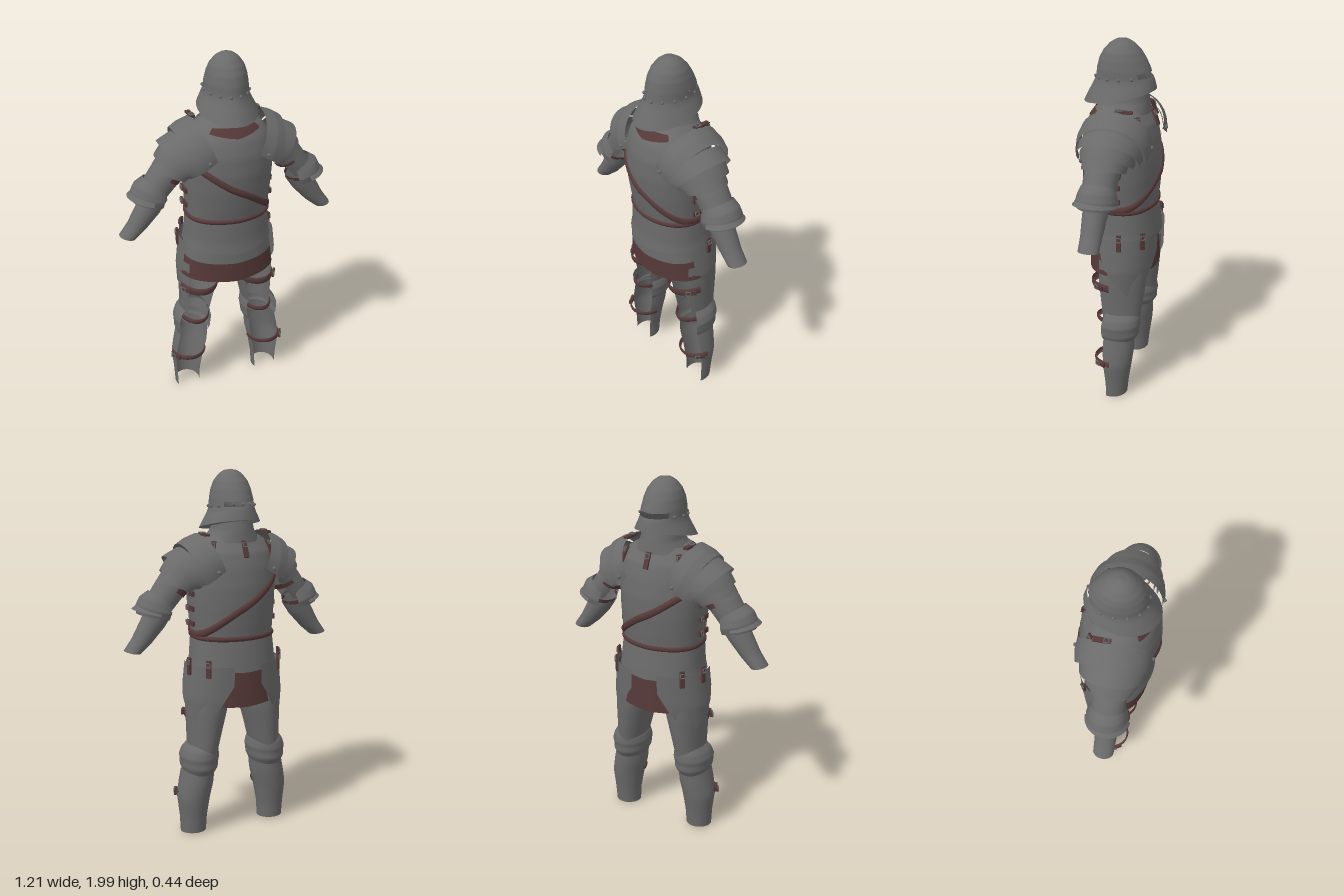
import * as THREE from 'three';

const steel = new THREE.MeshStandardMaterial({ color: 0x6a6a6a, side: THREE.DoubleSide });
steel.name = 'steel';
const leather = new THREE.MeshStandardMaterial({ color: 0x563939, side: THREE.DoubleSide });
leather.name = 'leather';
const RAD = Math.PI / 180, { sin, cos, abs, sign, pow } = Math;
const lerp = (a, b, t) => a + (b - a) * t;

// Sheet of quads through fn(u, v) -> [x, y, z]; closed joins the two u ends.
function sheet(parent, name, mat, fn, nu = 32, nv = 8, closed = false) {
  const pos = [], idx = [], cols = closed ? nu : nu + 1;
  for (let j = 0; j <= nv; j++)
    for (let i = 0; i < cols; i++) pos.push(...fn(i / nu, j / nv));
  for (let j = 0; j < nv; j++)
    for (let i = 0; i < nu; i++) {
      const k = (i + 1) % cols, a = j * cols + i, b = j * cols + k;
      idx.push(a, a + cols, b, b, a + cols, b + cols);
    }
  const g = new THREE.BufferGeometry();
  g.setAttribute('position', new THREE.Float32BufferAttribute(pos, 3));
  g.setIndex(idx);
  g.computeVertexNormals();
  const m = new THREE.Mesh(g, mat);
  m.name = name;
  parent.add(m);
  return m;
}

// Point on a body whose rows are [y, centreX, radiusX, zBack, zFront], falling in y. Angle 0 is +z.
function onBody(rows, deg, y, off = 0, p = 1, ridge = 0, rowY = y) {
  let k = 0;
  while (k < rows.length - 2 && rowY < rows[k + 1][0]) k++;
  const A = rows[k], B = rows[k + 1];
  const t = Math.min(1, Math.max(0, (rowY - A[0]) / (B[0] - A[0])));
  const [, cx, rx, zb, zf] = A.map((a, i) => lerp(a, B[i], t));
  const s = sin(deg * RAD), c = cos(deg * RAD);
  const rz = ((zb - zf) / 2 + off) * (1 - ridge * abs(s) * abs(c) * 2);
  return [cx + (rx + off) * sign(s) * pow(abs(s), p), y, (zb + zf) / 2 + rz * sign(c) * pow(abs(c), p)];
}

// Band following a body from y0 to y1 (numbers or functions of angle).
function band(parent, name, mat, rows, y0, y1, o = {}) {
  const { from = 0, to = 360, off = 0, bulge = 0, p = 1, ridge = 0, side = 1, nv = 10 } = o;
  const val = (y, d) => (typeof y === 'function' ? y(d) : y);
  return sheet(parent, name, mat, (u, v) => {
    const d = lerp(from, to, u), y = lerp(val(y0, d), val(y1, d), v);
    const q = onBody(rows, d, y, off + bulge * pow(sin(Math.PI * v), 0.5), p, ridge);
    return [q[0] * side, q[1], q[2]];
  }, 48, nv, to - from === 360);
}

// Short strap with a buckle, facing outward at the given angle.
function strap(parent, pos, deg, len = 0.09, tilt = 0) {
  const g = new THREE.Group();
  g.name = 'buckledStrap';
  const a = new THREE.Mesh(new THREE.BoxGeometry(0.026, len, 0.012), leather);
  a.name = 'strapLeather';
  const b = new THREE.Mesh(new THREE.TorusGeometry(0.017, 0.004, 6, 4), steel);
  b.name = 'buckle';
  b.rotation.z = Math.PI / 4;
  b.position.set(0, len * 0.25, 0.008);
  g.add(a, b);
  g.position.set(...pos);
  g.rotation.order = 'YXZ';
  g.rotation.set(tilt, deg * RAD, 0);
  parent.add(g);
  return g;
}

function rivet(parent, pos, r = 0.009) {
  const m = new THREE.Mesh(new THREE.SphereGeometry(r, 8, 6), steel);
  m.name = 'rivet';
  m.position.set(...pos);
  parent.add(m);
}

const torsoRows = [[1.67, 0, 0.12, 0.12, -0.11], [1.63, 0, 0.18, 0.15, -0.13], [1.58, 0, 0.22, 0.185, -0.165],
  [1.5, 0, 0.24, 0.212, -0.19], [1.4, 0, 0.24, 0.22, -0.205], [1.3, 0, 0.236, 0.212, -0.205],
  [1.2, 0, 0.228, 0.196, -0.197], [1.12, 0, 0.223, 0.18, -0.187]];
const T = { p: 0.88, ridge: 0.04 };
const front = d => (1 - cos(d * RAD)) / 2;

function buildTorso(root) {
  const g = new THREE.Group();
  g.name = 'torso';
  root.add(g);
  band(g, 'cuirass', steel, torsoRows, 1.67, 1.12, { ...T, nv: 28 });
  band(g, 'waistBelt', leather, torsoRows, 1.142, 1.114, { ...T, bulge: 0.011 });
  // baldric runs from the +x hip to the -x shoulder
  const slope = d => 1.306 - 0.71 * 0.235 * sin(d * RAD);
  band(g, 'baldric', leather, torsoRows, d => slope(d) + 0.022, d => slope(d) - 0.022, { ...T, bulge: 0.011 });
  // neck
  band(g, 'backCollar', leather, torsoRows, 1.645, d => 1.595 + abs(d) * 0.0006, { ...T, from: -42, to: 42, off: 0.006 });
  const neck = [[1.76, 0, 0.095, 0.09, -0.125], [1.69, 0, 0.11, 0.115, -0.14], [1.63, 0, 0.15, 0.14, -0.148]];
  band(g, 'gorget', steel, neck, d => 1.69 + 0.05 * front(d), 1.63, T);
  band(g, 'gorgetPlate', steel, torsoRows, 1.66, d => 1.53 + abs(d - 180) * 0.0013, { ...T, from: 110, to: 250, off: 0.01 });
  for (const d of [135, 180, 225]) {
    const q = onBody(torsoRows, d, 1.6, 0.02, 0.88);
    strap(g, q, d, 0.09, -0.4);
  }
  // hip plates and leather skirt
  const fauld = [[1.125, 0, 0.226, 0.183, -0.188], [1.0, 0, 0.236, 0.188, -0.206], [0.93, 0, 0.25, 0.198, -0.214]];
  const lower = [[0.97, 0, 0.236, 0.182, -0.195], [0.86, 0, 0.253, 0.187, -0.2]];
  const skirt = [[0.99, 0, 0.232, 0.175, -0.185], [0.75, 0, 0.27, 0.175, -0.2]];
  band(g, 'fauld', steel, fauld, 1.125, d => 0.955 + 0.015 * front(d) - 0.022 * pow(abs(cos(d * RAD)), 6), T);
  band(g, 'rearFauldLame', steel, lower, 0.965, d => 0.872 + abs(d) * 0.0002, { ...T, from: -100, to: 100 });
  band(g, 'leatherSkirt', leather, skirt, 0.98, d => 0.752 + 0.018 * abs(sin(d * RAD)), T);
  for (const s of [1, -1]) {
    for (const y of [1.2, 1.28, 1.36]) {
      const st = strap(g, [s * 0.24, y, 0], s * 90, 0.09);
      st.rotation.z = Math.PI / 2;
    }
    // tapered thigh plates hanging from the hip
    const tas = [[0.99, 0, 0.262, 0.2, -0.219], [0.8, 0, 0.284, 0.2, -0.214], [0.62, 0, 0.276, 0.185, -0.195]];
    sheet(g, 'tasset', steel, (u, v) => {
      const k = u * 2 - 1, w = v < 0.5 ? 1 : lerp(1, 0.7, (v - 0.5) * 2);
      const y = 0.985 - v * (0.345 - 0.13 * pow(abs(k), 1.4));
      const q = onBody(tas, 120 + 45 * k * w, y, 0, 0.9);
      return [q[0] * s, q[1], q[2]];
    }, 20, 16);
    for (const d of [98, 132]) {
      const q = onBody(tas, d, 0.975, 0.008, 0.9);
      strap(g, [q[0] * s, q[1], q[2]], d * s, 0.095);
    }
  }
}

function buildHelmet(root) {
  const g = new THREE.Group();
  g.name = 'helmet';
  root.add(g);
  const rows = [[2, 0, 0.001, 0.008, 0.006], [1.994, 0, 0.035, 0.042, -0.028], [1.975, 0, 0.062, 0.072, -0.06],
    [1.94, 0, 0.088, 0.104, -0.094], [1.9, 0, 0.102, 0.126, -0.12], [1.85, 0, 0.111, 0.139, -0.143],
    [1.8, 0, 0.114, 0.145, -0.158], [1.77, 0, 0.121, 0.158, -0.163], [1.72, 0, 0.139, 0.185, -0.169],
    [1.67, 0, 0.156, 0.21, -0.174]];
  // the lower rim climbs towards the face
  const shell = (name, a, b, from, to, nv) => sheet(g, name, steel, (u, v) => {
    const d = lerp(from, to, u), y = lerp(a, b, v);
    const rise = y < 1.815 ? 0.08 * front(d) * (1.815 - y) / 0.145 : 0;
    return onBody(rows, d, y + rise, 0, 1, 0.02, y);
  }, 48, nv, to - from === 360);
  shell('helmetCrown', 2, 1.84, 0, 360, 24);
  shell('sightBand', 1.84, 1.815, -130, 130, 3);
  shell('helmetSkirt', 1.815, 1.67, 0, 360, 14);
  for (let i = 0; i < 14; i++) {
    const d = (i + 0.5) * 360 / 14, y = 1.803 + 0.02 * front(d);
    if (abs(d - 180) > 40) rivet(g, onBody(rows, d, y, 0.002, 1, 0.02));
  }
}

// Arc round the arm: [x, y, angle of outward normal, outward radius, z radius].
function armBand(parent, name, mat, s, arcs, sweep, z = 0.02, mid = 0, nv = 6) {
  const n = arcs.length - 1;
  sheet(parent, name, mat, (u, v) => {
    const k = Math.min(n - 1, Math.floor(v * n)), t = v * n - k;
    const [x, y, a, rn, rz] = arcs[k].map((q, i) => lerp(q, arcs[k + 1][i], t));
    const f = (mid + lerp(-sweep, sweep, u)) * RAD;
    return [s * (x + rn * cos(f) * cos(a * RAD)), y + rn * cos(f) * sin(a * RAD), z + rz * sin(f)];
  }, 32, nv * n, sweep === 180);
}

function buildArm(root, s) {
  const g = new THREE.Group();
  g.name = s > 0 ? 'leftArm' : 'rightArm';
  root.add(g);
  // shoulder plates, overlapping outward
  armBand(g, 'shoulderPlate', steel, s, [[0.125, 1.515, 68, 0.172, 0.19], [0.185, 1.48, 69, 0.185, 0.195], [0.235, 1.45, 70, 0.185, 0.185]], 98, 0.004);
  armBand(g, 'shoulderLame', steel, s, [[0.215, 1.455, 64, 0.168, 0.172], [0.265, 1.44, 48, 0.165, 0.162]], 100, 0.012);
  armBand(g, 'shoulderLame', steel, s, [[0.25, 1.445, 52, 0.148, 0.145], [0.285, 1.42, 32, 0.13, 0.135]], 108, 0.015);
  armBand(g, 'shoulderLame', steel, s, [[0.275, 1.43, 38, 0.115, 0.12], [0.31, 1.395, 24, 0.11, 0.113]], 112);
  for (const z of [0.2, -0.192]) rivet(g, [s * 0.16, 1.49, z], 0.011);
  const top = strap(g, [s * 0.18, 1.672, -0.05], 180, 0.09);
  top.rotation.x = -Math.PI / 2;
  // upper arm, elbow and forearm
  armBand(g, 'upperArmPlate', steel, s, [[0.29, 1.45, 33, 0.085, 0.09], [0.345, 1.385, 33, 0.088, 0.09], [0.405, 1.31, 33, 0.08, 0.085]], 125);
  armBand(g, 'upperArmStrap', leather, s, [[0.325, 1.405, 33, 0.075, 0.096], [0.345, 1.38, 33, 0.075, 0.096]], 95, 0.02, 180, 2);
  armBand(g, 'elbowCup', steel, s, [[0.395, 1.345, 33, 0.08, 0.088], [0.415, 1.315, 25, 0.105, 0.1], [0.425, 1.285, 16, 0.112, 0.108], [0.43, 1.25, 12, 0.105, 0.1]], 115);
  armBand(g, 'elbowWing', steel, s, [[0.425, 1.29, 16, 0.105, 0.1], [0.432, 1.265, 14, 0.125, 0.118]], 85, 0.024, 0, 3);
  armBand(g, 'elbowStrap', leather, s, [[0.41, 1.29, 20, 0.07, 0.09], [0.42, 1.27, 20, 0.07, 0.09]], 75, 0.02, 180, 2);
  armBand(g, 'forearmPlate', steel, s, [[0.405, 1.28, 24, 0.07, 0.066], [0.445, 1.215, 24, 0.066, 0.064], [0.51, 1.125, 20, 0.052, 0.056], [0.563, 1.068, 12, 0.044, 0.054]], 180, 0.025);
}

function buildLeg(root, s) {
  const g = new THREE.Group();
  g.name = s > 0 ? 'leftLeg' : 'rightLeg';
  root.add(g);
  const thigh = [[0.85, 0.155, 0.108, 0.13, -0.175], [0.72, 0.163, 0.106, 0.128, -0.172], [0.6, 0.177, 0.089, 0.112, -0.16], [0.44, 0.195, 0.07, 0.085, -0.14]];
  const knee = [[0.53, 0.195, 0.074, 0.09, -0.135], [0.5, 0.2, 0.095, 0.11, -0.148], [0.46, 0.204, 0.106, 0.12, -0.152],
    [0.435, 0.205, 0.102, 0.118, -0.146], [0.4, 0.206, 0.1, 0.115, -0.146], [0.36, 0.208, 0.082, 0.09, -0.122]];
  const shin = [[0.4, 0.207, 0.088, 0.1, -0.122], [0.3, 0.222, 0.094, 0.1, -0.12], [0.22, 0.238, 0.091, 0.087, -0.112],
    [0.1, 0.242, 0.075, 0.066, -0.095], [0, 0.242, 0.07, 0.06, -0.086]];
  // plates wrap the front and leave the back open
  band(g, 'thighPlate', steel, thigh, 0.85, 0.44, { from: 52, to: 308, side: s, nv: 16 });
  band(g, 'kneeCop', steel, knee, 0.53, d => 0.365 + 0.02 * (1 - front(d)), { from: 62, to: 298, side: s, nv: 18 });
  band(g, 'greave', steel, shin, d => 0.37 + 0.03 * front(d), d => 0.005 + 0.015 * front(d), { from: 65, to: 295, side: s, nv: 16 });
  // leather straps close the back
  const back = { from: -78, to: 78, bulge: 0.009, side: s };
  band(g, 'thighStrap', leather, thigh, 0.71, 0.665, back);
  band(g, 'kneeStrap', leather, thigh, 0.492, 0.46, back);
  band(g, 'shinStrap', leather, shin, 0.252, 0.222, { ...back, from: -88, to: 88 });
  const q = onBody(shin, 60, 0.237, 0.01), r = onBody(thigh, 55, 0.69, 0.012);
  for (const [c, d] of [[q, 60], [r, 55]]) {
    const st = strap(g, [c[0] * s, c[1], c[2]], d * s, 0.06);
    st.rotation.z = Math.PI / 2;
  }
}

export function createModel() {
  const root = new THREE.Group();
  root.name = 'plateArmour';
  buildTorso(root);
  buildHelmet(root);
  for (const s of [1, -1]) {
    buildArm(root, s);
    buildLeg(root, s);
  }
  return root;
}
